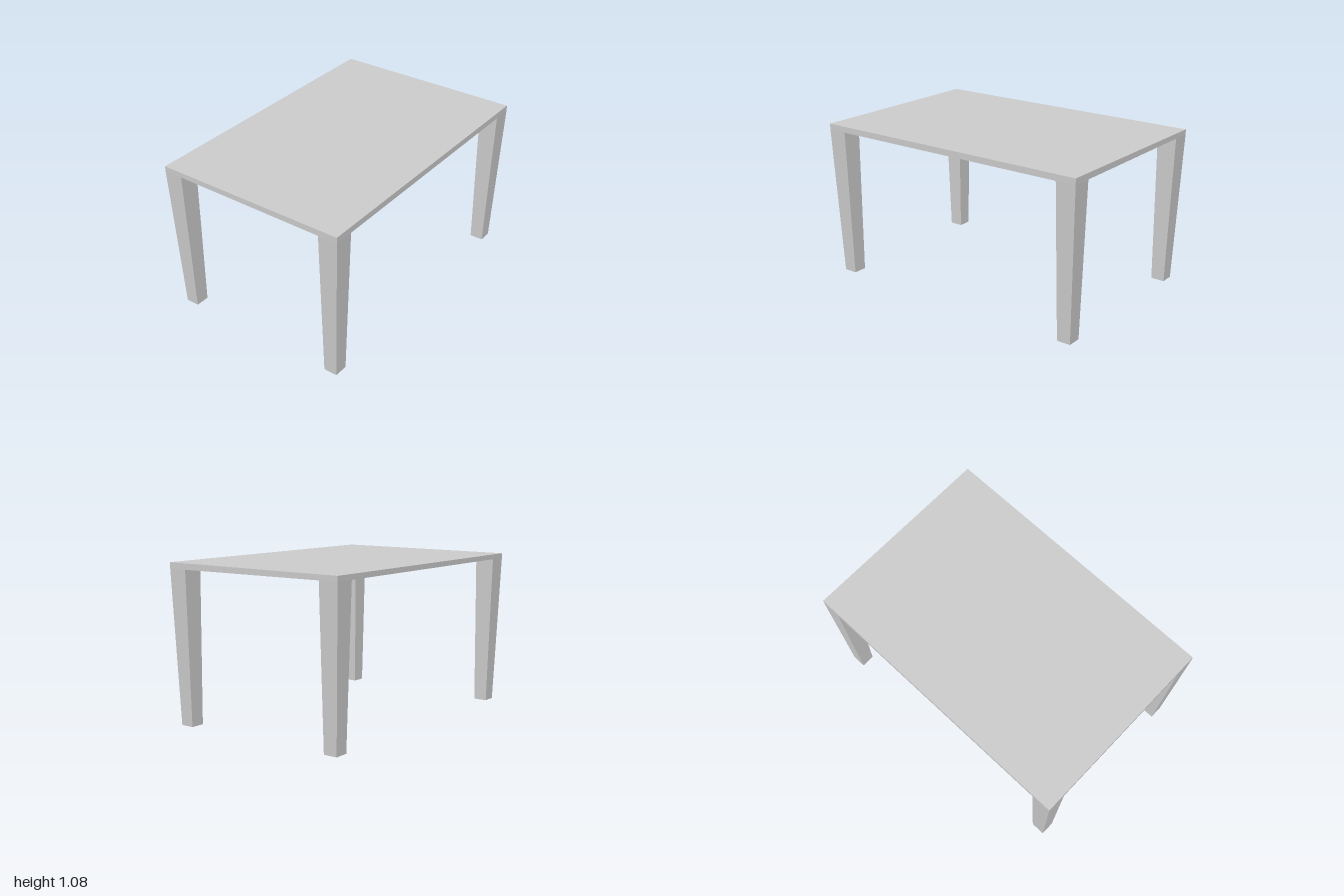
import * as THREE from 'three';

const W = 1, D = 0.675;          // half width and half depth of the top
const UNDER = 1.042;             // underside of the top

// Unit box whose corners are moved by rule(sx, sy, sz), each sign being -1 or 1
function shapedBox(name, material, rule) {
  const geometry = new THREE.BoxGeometry(2, 2, 2);
  const p = geometry.attributes.position;
  for (let i = 0; i < p.count; i++) {
    p.setXYZ(i, ...rule(p.getX(i), p.getY(i), p.getZ(i)));
  }
  geometry.computeVertexNormals();
  const mesh = new THREE.Mesh(geometry, material);
  mesh.name = name;
  return mesh;
}

export function createModel() {
  const group = new THREE.Group();
  group.name = 'table';
  const material = new THREE.MeshStandardMaterial({ color: 0xcccccc, flatShading: true });

  // Thin slab, very slightly higher at the front
  group.add(shapedBox('tableTop', material, (sx, sy, sz) =>
    [sx * W, sy > 0 ? 1.08 + sz * 0.0035 : UNDER, sz * D]));

  // Corner legs, flush with the slab and tapering to smaller feet
  for (const mx of [-1, 1]) {
    for (const mz of [-1, 1]) {
      const name = (mz > 0 ? 'front' : 'back') + (mx > 0 ? 'Left' : 'Right') + 'Leg';
      group.add(shapedBox(name, material, (sx, sy, sz) => {
        const top = sy > 0;
        const x = sx === mx ? (top ? W : 0.965) : (top ? 0.863 : 0.869);
        const z = sz === mz ? (top ? D : 0.64) : (top ? 0.54 : 0.545);
        return [mx * x, top ? UNDER : 0, mz * z];
      }));
    }
  }
  return group;
}
